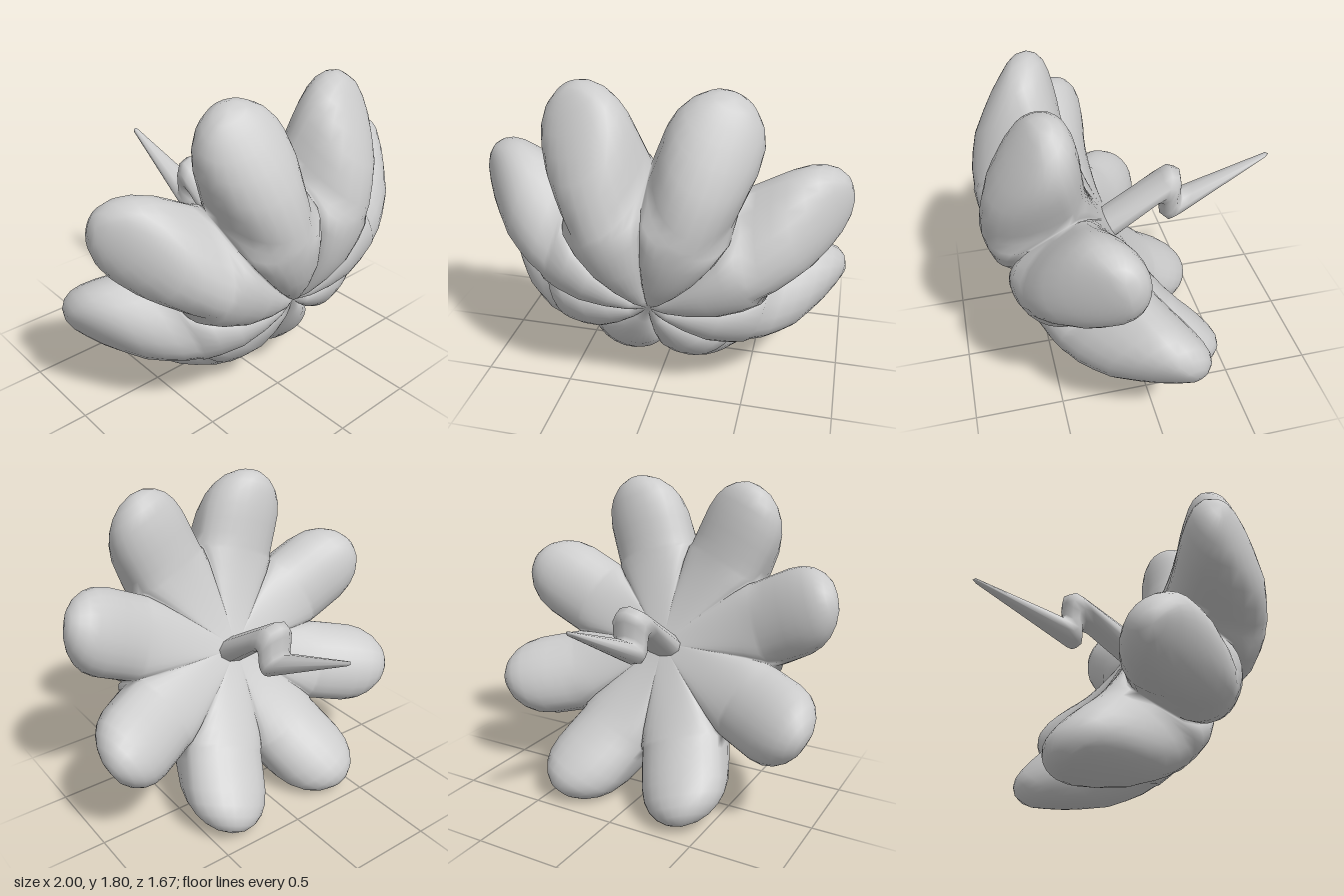
import * as THREE from 'three';
import { mergeVertices } from 'three/addons/utils/BufferGeometryUtils.js';

const PETALS = 8;
const WEDGE = Math.tan(Math.PI / PETALS);
const TIP_CENTRE = 0.815, TIP_RADIUS = 0.245;

// Petal rows: distance from pole, front valley, front crest, back valley, back crest
const ROWS = [
  [0, -0.05, -0.05, -0.6, -0.6],
  [0.1, -0.05, -0.015, -0.6, -0.6],
  [0.22, -0.06, 0.0, -0.6, -0.605],
  [0.36, -0.1, 0.0, -0.59, -0.62],
  [0.48, -0.17, -0.03, -0.575, -0.64],
  [0.565, -0.27, -0.06, -0.54, -0.66],
  [0.59, -0.5, -0.075, -0.5, -0.67],
  [0.66, -0.52, -0.11, -0.52, -0.69],
  [0.74, -0.54, -0.17, -0.54, -0.72],
  [0.82, -0.56, -0.24, -0.56, -0.745],
  [0.9, -0.58, -0.35, -0.58, -0.765],
  [0.96, -0.6, -0.44, -0.6, -0.77],
  [1.01, -0.62, -0.53, -0.62, -0.755],
  [1.045, -0.64, -0.6, -0.64, -0.72],
  [1.06, -0.66, -0.66, -0.66, -0.66],
];

// Adds triangles between successive rows of points
function skin(rows, out) {
  for (let i = 0; i < rows.length - 1; i++) {
    for (let j = 0; j < rows[i].length - 1; j++) {
      const a = rows[i][j], b = rows[i][j + 1], c = rows[i + 1][j + 1], d = rows[i + 1][j];
      for (const p of [a, b, c, a, c, d]) out.push(p.x, p.y, p.z);
    }
  }
}

function smoothMesh(name, positions) {
  let geometry = new THREE.BufferGeometry();
  geometry.setAttribute('position', new THREE.Float32BufferAttribute(positions, 3));
  geometry = mergeVertices(geometry, 1e-4);
  geometry.computeVertexNormals();
  const mesh = new THREE.Mesh(geometry, new THREE.MeshStandardMaterial({ color: 0xcccccc }));
  mesh.name = name;
  return mesh;
}

// Petals narrow to a wedge at the pole and end in a round tip
function halfWidth(r) {
  if (r < 0.595) return Math.min(r * WEDGE, TIP_RADIUS);
  const d = Math.max(0, r - TIP_CENTRE);
  return Math.sqrt(Math.max(0, TIP_RADIUS ** 2 - d * d));
}

// One sheet of a petal: the front (side 1) or the back (side -1)
function petalSheet(side, angle) {
  const segments = 12;
  const axis = new THREE.Vector3(0, 0, 1);
  return ROWS.map(([r, frontValley, frontCrest, backValley, backCrest]) => {
    const valley = side > 0 ? frontValley : backValley;
    const crest = side > 0 ? frontCrest : backCrest;
    const points = [];
    for (let j = 0; j <= segments; j++) {
      const a = (j / segments - 0.5) * Math.PI;
      const depth = valley + (crest - valley) * Math.cos(a);
      points.push(new THREE.Vector3(side * halfWidth(r) * Math.sin(a), r, depth).applyAxisAngle(axis, angle));
    }
    return points;
  });
}

// Fluted bowl of eight petals, facing its own +z
function createPetals() {
  const positions = [];
  for (let k = 0; k < PETALS; k++) {
    const angle = ((k + 0.5) / PETALS) * Math.PI * 2;
    skin(petalSheet(1, angle), positions);
    skin(petalSheet(-1, angle), positions);
  }
  return smoothMesh('petals', positions);
}

// Bent spike: each section gives its outer edge (y, z), inner edge (y, z) and half width
function createStem() {
  const sections = [
    [0.91, 0.19, 0.77, 0.12, 0.12],
    [1.16, -0.21, 0.97, -0.14, 0.12],
    [1.19, -0.26, 0.98, -0.185, 0.115],
    [1.17, -0.31, 0.965, -0.2, 0.11],
    [1.12, -0.32, 0.93, -0.2, 0.105],
    [1.04, -0.315, 0.885, -0.2, 0.1],
    [1.02, -0.33, 0.855, -0.23, 0.1],
    [1.045, -0.39, 0.86, -0.26, 0.09],
    [1.2, -0.825, 1.17, -0.815, 0.017],
    [1.19, -0.84, 1.19, -0.84, 0],
  ];
  const sides = 10;
  const rings = sections.map(([ay, az, by, bz, w]) => {
    const ring = [];
    for (let j = 0; j <= sides; j++) {
      const a = (j / sides) * Math.PI * 2;
      const c = Math.cos(a) / 2;
      ring.push(new THREE.Vector3(w * Math.sin(a), (ay + by) / 2 + (ay - by) * c, (az + bz) / 2 + (az - bz) * c));
    }
    return ring;
  });
  const positions = [];
  skin(rings, positions);
  return smoothMesh('stem', positions);
}

export function createModel() {
  const model = new THREE.Group();
  model.name = 'flower';

  // The bowl leans forward and down
  const petals = createPetals();
  petals.rotation.x = 0.49;
  petals.position.set(0, 0.6, 0.63);

  model.add(petals, createStem());
  return model;
}
